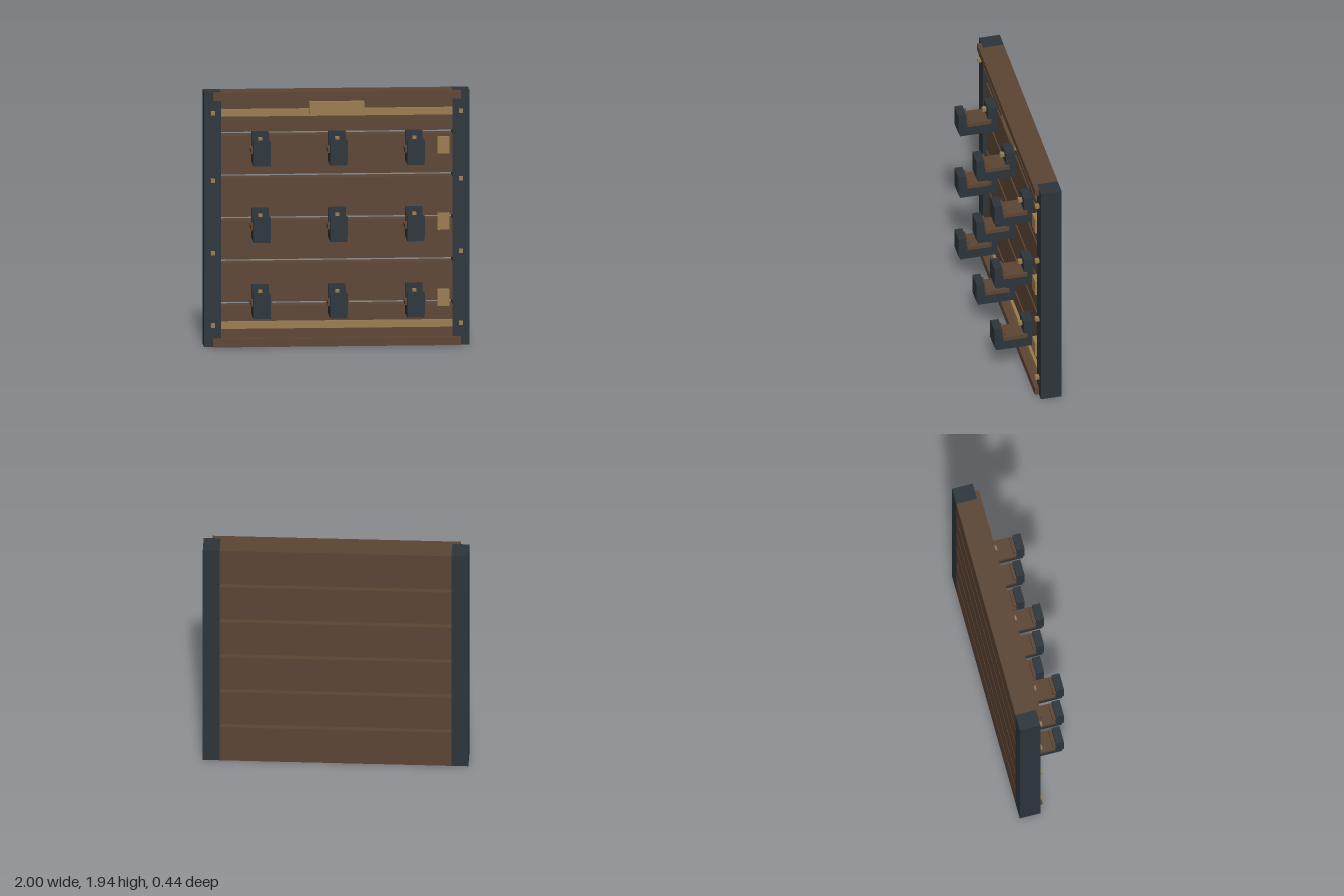
import * as THREE from 'three';

export function createModel() {
  const model = new THREE.Group();
  model.name = 'wallRack';
  const material = (name, color) => {
    const m = new THREE.MeshStandardMaterial({ color });
    m.name = name;
    return m;
  };
  const iron = material('dark iron', 0x2c353b);
  const wood = material('brown wood', 0x5c4534);
  const brass = material('dull brass', 0x9c7c50);

  // Box given by its extents along each axis
  const box = (parent, name, mat, [x0, x1], [y0, y1], [z0, z1]) => {
    const mesh = new THREE.Mesh(new THREE.BoxGeometry(x1 - x0, y1 - y0, z1 - z0), mat);
    mesh.position.set((x0 + x1) / 2, (y0 + y1) / 2, (z0 + z1) / 2);
    mesh.name = name;
    parent.add(mesh);
  };

  const H = 1.937, back = -0.217, postFront = -0.057, plankFront = -0.083;

  // Side posts with their studs
  for (const s of [-1, 1]) {
    const span = (a, b) => (s > 0 ? [a, b] : [-b, -a]);
    box(model, 'sidePost', iron, span(0.873, 1), [0, H], [back, postFront]);
    for (const y of [0.165, 0.715, 1.265, 1.78]) {
      box(model, 'postStud', brass, span(0.92, 0.95), [y - 0.015, y + 0.015], [postFront, -0.027]);
    }
  }

  // Six back planks with narrow gaps
  const pitch = 0.3235, gap = 0.03;
  for (let i = 0; i < 6; i++) {
    const y0 = i === 0 ? 0 : i * pitch + gap / 2 - 0.002;
    const y1 = i === 5 ? H : (i + 1) * pitch - gap / 2 - 0.002;
    box(model, 'backPlank', wood, [-0.873, 0.873], [y0, y1], [back, plankFront]);
  }

  // Top and bottom rails: a filler between the posts and a longer front lip
  for (const [name, y0, y1] of [['bottomRail', 0, 0.063], ['topRail', 1.877, H]]) {
    box(model, name + 'Filler', wood, [-0.873, 0.873], [y0, y1], [plankFront, postFront]);
    box(model, name, wood, [-0.935, 0.935], [y0, y1], [postFront, -0.025]);
  }

  // Trim strips, name plate and row tags
  for (const y of [0.135, 1.75]) {
    box(model, 'trimStrip', brass, [-0.873, 0.873], [y, y + 0.055], [plankFront, -0.06]);
  }
  box(model, 'namePlate', brass, [-0.207, 0.207], [1.765, 1.858], [plankFront, -0.042]);

  // Three rows of cradle hooks
  for (let row = 0; row < 3; row++) {
    const base = 0.247 + row * 0.581;
    box(model, 'rowTag', brass, [0.76, 0.85], [base + 0.047, base + 0.174], [plankFront, -0.047]);
    for (const x of [-0.58, 0, 0.58]) {
      const hook = new THREE.Group();
      hook.name = 'cradleHook';
      hook.position.set(x, base, 0);
      model.add(hook);
      const w = [-0.065, 0.065];
      box(hook, 'backPlate', iron, w, [0, 0.225], [plankFront, -0.01]);
      box(hook, 'arm', iron, w, [0, 0.088], [-0.01, 0.205]);
      box(hook, 'frontLip', iron, w, [0.032, 0.191], [0.157, 0.219]);
      box(hook, 'woodPad', wood, [-0.08, 0.08], [0.088, 0.12], [-0.035, 0.152]);
      box(hook, 'padLip', wood, w, [0.12, 0.155], [0.133, 0.157]);
      box(hook, 'peg', brass, [-0.015, 0.015], [0.162, 0.192], [-0.01, 0.02]);
    }
  }
  return model;
}
